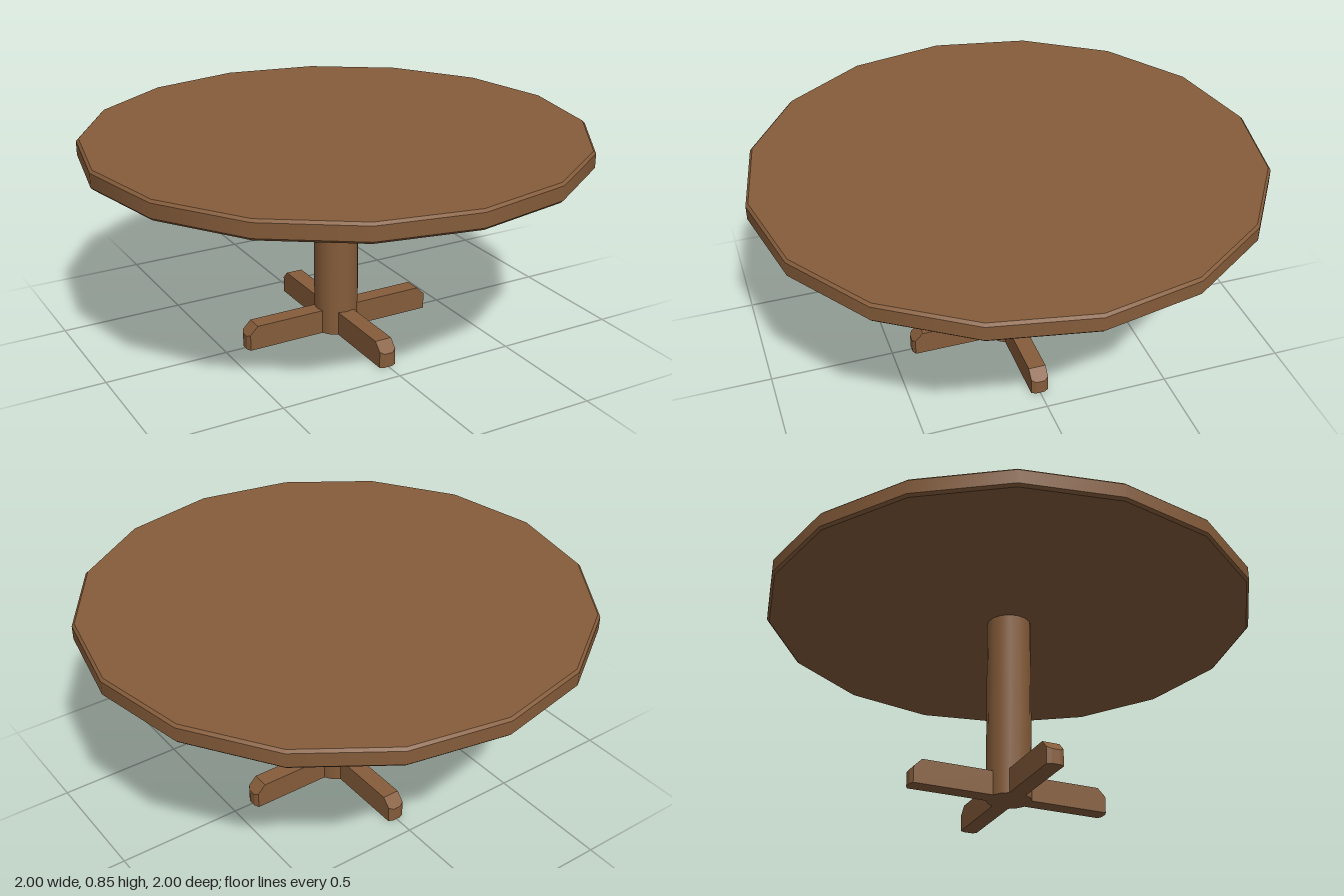
import * as THREE from 'three';
import { mergeGeometries } from 'three/addons/utils/BufferGeometryUtils.js';
import { ConvexGeometry } from 'three/addons/geometries/ConvexGeometry.js';

const SIDES = 16;

// One ring of the tabletop, from height y0 up to y1
function ring(bottomRadius, topRadius, y0, y1) {
  return new THREE.CylinderGeometry(topRadius, bottomRadius, y1 - y0, SIDES, 1, true)
    .translate(0, (y0 + y1) / 2, 0);
}

// Flat cap at height y, facing up or down
function cap(radius, y, up) {
  return new THREE.CircleGeometry(radius, SIDES)
    .rotateX(up ? -Math.PI / 2 : Math.PI / 2)
    .translate(0, y, 0);
}

// Foot along +x: sloped top at the tip and clipped vertical corners
function footGeometry() {
  const points = [];
  for (const s of [-1, 1]) {
    for (const [x, y, z] of [
      [0, 0, 0.035], [0, 0.1, 0.035], [0.375, 0.1, 0.035],
      [0.408, 0.067, 0.035], [0.408, 0, 0.035],
      [0.417, 0.058, 0.017], [0.417, 0, 0.017],
    ]) points.push(new THREE.Vector3(x, y, z * s));
  }
  return new ConvexGeometry(points);
}

export function createModel() {
  const model = new THREE.Group();
  model.name = 'roundTable';
  const wood = new THREE.MeshStandardMaterial({ color: 0x855c3a });
  wood.name = 'brownWood';

  const add = (name, geometry) => {
    const mesh = new THREE.Mesh(geometry, wood);
    mesh.name = name;
    model.add(mesh);
    return mesh;
  };

  // Sixteen-sided top with small bevels above and below
  add('tabletop', mergeGeometries([
    cap(0.99, 0.775, false),
    ring(0.99, 1, 0.775, 0.785),
    ring(1, 1, 0.785, 0.84),
    ring(1, 0.99, 0.84, 0.85),
    cap(0.99, 0.85, true),
  ]));

  // Central column
  add('column', new THREE.CylinderGeometry(0.09, 0.09, 0.78, SIDES).translate(0, 0.39, 0));

  // Four feet in a cross
  const foot = footGeometry();
  ['leftFoot', 'backFoot', 'rightFoot', 'frontFoot'].forEach((name, i) => {
    add(name, foot).rotation.y = i * Math.PI / 2;
  });

  return model;
}
